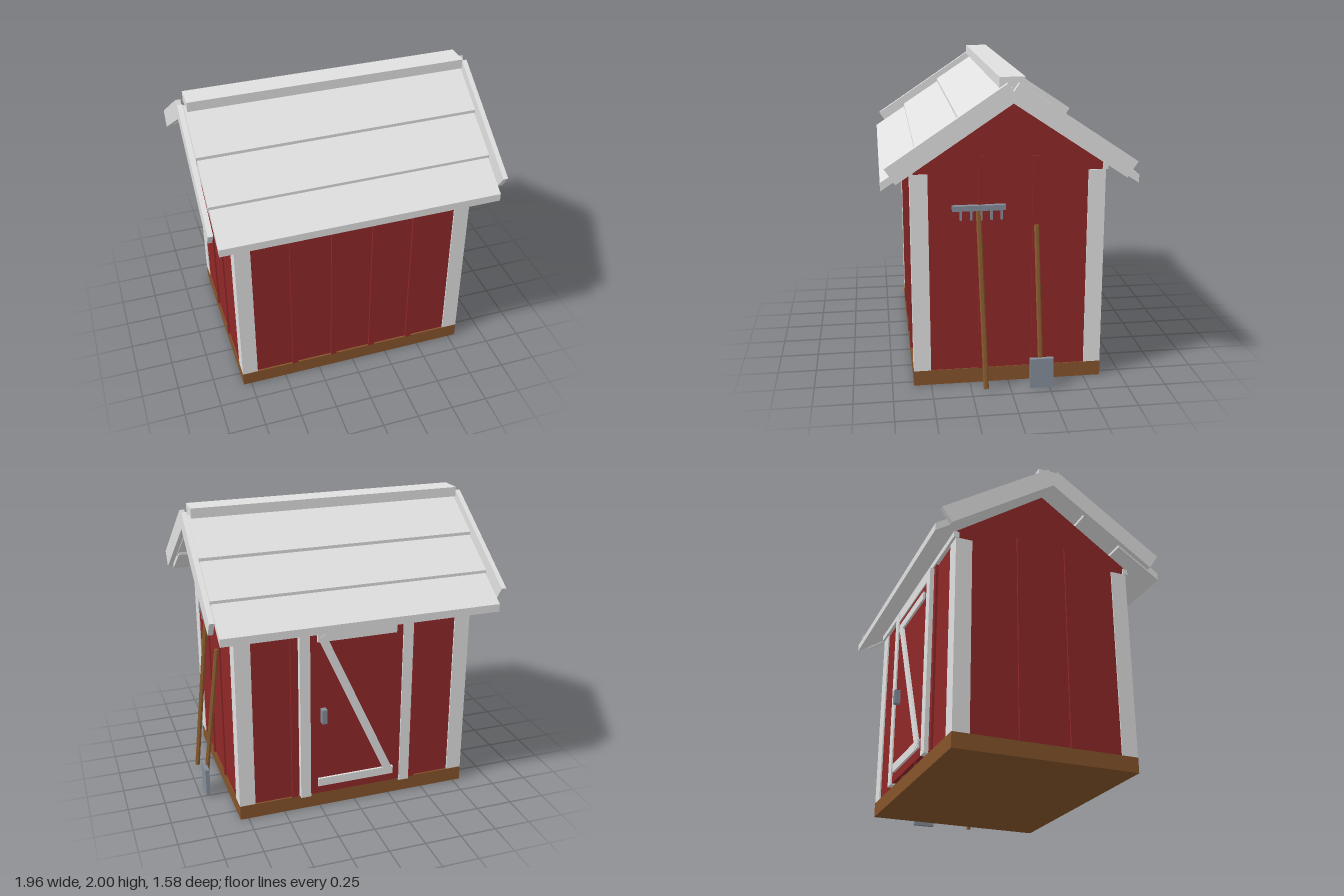
import * as THREE from 'three';

export function createModel() {
  const mat = (name, color) => {
    const m = new THREE.MeshStandardMaterial({ color });
    m.name = name;
    return m;
  };
  const red = mat('barn red', 0x8f2828);
  const white = mat('white trim', 0xe0e0e0);
  const wood = mat('base wood', 0x85532a);
  const handleWood = mat('handle wood', 0x875a2d);
  const metal = mat('grey metal', 0x848d99);

  const shed = new THREE.Group();
  shed.name = 'shed';

  const add = (name, geometry, material, parent = shed) => {
    const mesh = new THREE.Mesh(geometry, material);
    mesh.name = name;
    parent.add(mesh);
    return mesh;
  };
  // Box given by its limits on each axis
  const box = (name, material, [x0, x1], [y0, y1], [z0, z1], parent = shed) => {
    const mesh = add(name, new THREE.BoxGeometry(x1 - x0, y1 - y0, z1 - z0), material, parent);
    mesh.position.set((x0 + x1) / 2, (y0 + y1) / 2, (z0 + z1) / 2);
    return mesh;
  };
  // Outline of [z, y] points extruded along x, centred
  const prism = (name, material, points, width) => {
    const shape = new THREE.Shape(points.map(([z, y]) => new THREE.Vector2(-z, y)));
    const geometry = new THREE.ExtrudeGeometry(shape, { depth: width, bevelEnabled: false });
    geometry.translate(0, 0, -width / 2).rotateY(Math.PI / 2);
    return add(name, geometry, material);
  };
  // Pole between two points
  const pole = (name, from, to, radius, parent) => {
    const a = new THREE.Vector3(...from), b = new THREE.Vector3(...to);
    const geometry = new THREE.CylinderGeometry(radius, radius, a.distanceTo(b), 6).toNonIndexed();
    geometry.computeVertexNormals();
    const mesh = add(name, geometry, handleWood, parent);
    mesh.position.copy(a).lerp(b, 0.5);
    mesh.quaternion.setFromUnitVectors(new THREE.Vector3(0, 1, 0), b.clone().sub(a).normalize());
  };

  // Base and gabled body
  box('base', wood, [-0.805, 0.805], [0, 0.1], [-0.612, 0.612]);
  prism('walls', red, [[-0.6, 0.1], [0.6, 0.1], [0.6, 1.455], [0, 1.87], [-0.6, 1.455]], 1.6);

  for (const s of [-1, 1]) {
    const span = (a, b) => (s > 0 ? [a, b] : [-b, -a]);

    // Battens on the long walls and the gable walls
    for (let i = 0; i < 4; i++) {
      const x = -0.425 + i * 0.2833;
      box('longWallBatten', red, [x - 0.02, x + 0.02], [0.1, 1.4], span(0.59, 0.616));
    }
    for (const z of [-0.17, 0.17]) {
      box('gableBatten', red, span(0.79, 0.811), [0.1, 1.5], [z - 0.02, z + 0.02]);
    }

    // Corner posts and eave plates
    for (const x of [[-0.806, -0.7], [0.7, 0.806]]) {
      box('cornerPost', white, x, [0.1, 1.4], span(0.5, 0.61));
    }
    box('eavePlate', white, [-0.81, 0.81], [1.4, 1.44], span(0.59, 0.625));

    // Lapped roof boards: outer z, top y at that edge, inner z, half width
    const slope = 0.655, thick = 0.052;
    const boards = [[0.788, 1.388, 0.5, 0.925], [0.57, 1.55, 0.25, 0.93], [0.308, 1.742, 0, 0.935]];
    for (const [z0, y0, z1, half] of boards) {
      const y1 = y0 + (z0 - z1) * slope;
      const pts = [[z0, y0], [z1, y1], [z1, y1 - thick], [z0, y0 - thick]];
      prism('roofBoard', white, pts.map(([z, y]) => [s * z, y]), half * 2);
    }

    // Bargeboards on both gable ends
    for (const x of [-0.961, 0.961]) {
      const board = add('bargeboard', new THREE.BoxGeometry(0.033, 0.117, 0.878), white);
      board.position.set(x, 1.677, s * 0.366);
      board.rotation.x = s * Math.atan2(0.487, 0.73);
    }

    // Door jambs
    const jamb = span(0.32, 0.39);
    box('doorJamb', white, jamb, [0.1, 1.4], [-0.64, -0.6]);
  }
  box('ridgeCap', white, [-0.925, 0.925], [1.935, 2], [-0.077, 0.077]);

  // Back door with Z brace and pull
  const door = new THREE.Group();
  door.name = 'door';
  shed.add(door);
  box('doorPanel', red, [-0.32, 0.32], [0.11, 1.33], [-0.63, -0.6], door);
  box('doorHeader', white, [-0.32, 0.32], [1.33, 1.4], [-0.638, -0.6], door);
  box('lowerRail', white, [-0.27, 0.27], [0.17, 0.228], [-0.645, -0.628], door);
  box('upperRail', white, [-0.27, 0.27], [1.222, 1.28], [-0.645, -0.628], door);
  const brace = add('diagonalBrace', new THREE.BoxGeometry(0.055, 1.18, 0.018), white, door);
  brace.position.set(0, 0.725, -0.638);
  brace.rotation.z = -Math.atan2(0.49, 1.08);
  box('doorPull', metal, [0.215, 0.25], [0.65, 0.75], [-0.672, -0.628], door);

  // Rake leaning on the gable wall
  const rake = new THREE.Group();
  rake.name = 'rake';
  shed.add(rake);
  pole('rakeHandle', [0.942, 0.02, 0.16], [0.814, 1.17, 0.19], 0.017, rake);
  box('rakeHead', metal, [0.8, 0.832], [1.166, 1.2], [0.022, 0.354], rake);
  for (let i = 0; i < 5; i++) {
    const z = 0.046 + i * 0.0635;
    box('rakeTooth', metal, [0.808, 0.828], [1.105, 1.17], [z - 0.007, z + 0.007], rake);
  }

  // Shovel leaning beside it
  const shovel = new THREE.Group();
  shovel.name = 'shovel';
  shed.add(shovel);
  pole('shovelHandle', [0.938, 0.15, -0.19], [0.824, 1.06, -0.173], 0.016, shovel);
  box('shovelBlade', metal, [0.935, 0.962], [0.012, 0.212], [-0.27, -0.12], shovel);

  return shed;
}
